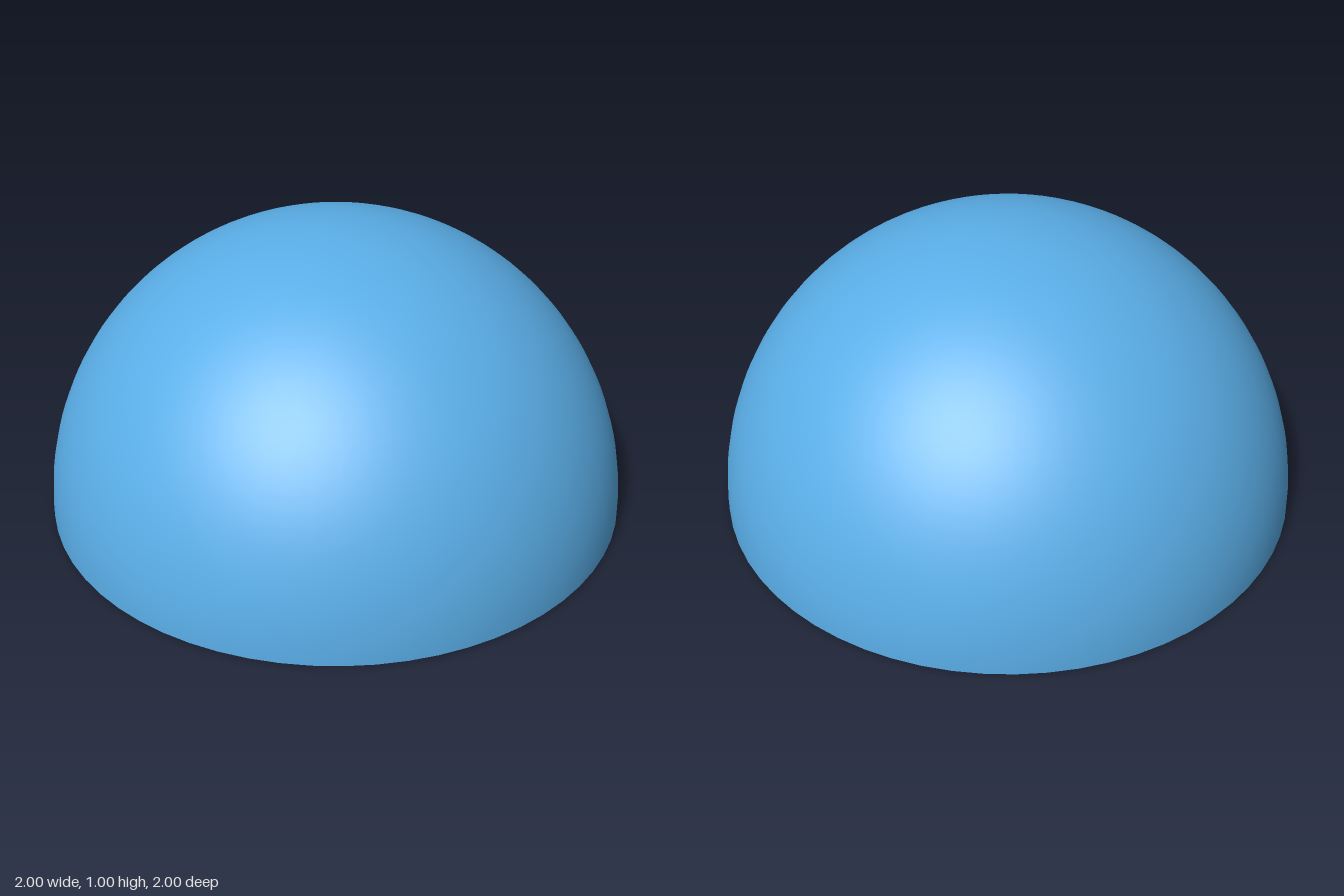
import * as THREE from 'three';

export function createModel() {
  const model = new THREE.Group();
  const sky = new THREE.MeshStandardMaterial({ color: 0x5aaee8, side: THREE.DoubleSide });
  const wood = new THREE.MeshStandardMaterial({ color: 0xc69a6b });
  const grey = new THREE.MeshStandardMaterial({ color: 0xcccccc });

  const add = (parent, name, geometry, material, x = 0, y = 0, z = 0) => {
    const mesh = new THREE.Mesh(geometry, material);
    mesh.name = name;
    mesh.position.set(x, y, z);
    parent.add(mesh);
    return mesh;
  };
  const ring = (radius, tube) =>
    new THREE.TorusGeometry(radius, tube, 10, 72).rotateX(Math.PI / 2);

  // Open half-sphere shell
  add(model, 'skyDome', new THREE.SphereGeometry(1, 64, 32, 0, Math.PI * 2, 0, Math.PI / 2), sky, 0, 0.004, 0);

  // Stepped seating rings widening upwards around an open centre
  const arena = new THREE.Group();
  arena.name = 'arena';
  model.add(arena);
  const tiers = 8;
  for (let i = 0; i < tiers; i++) {
    const t = i / (tiers - 1);
    add(arena, 'seatingTier', ring(0.268 + 0.227 * t, 0.019), wood, 0, 0.026 + 0.1 * t, 0);
  }
  add(arena, 'innerRail', ring(0.243, 0.006), wood, 0, 0.006, 0);

  // Outer railing on evenly spaced posts
  const railRadius = 0.545;
  add(arena, 'outerRail', ring(railRadius, 0.007), wood, 0, 0.15, 0);
  const postGeometry = new THREE.CylinderGeometry(0.007, 0.007, 0.075, 8);
  const posts = 24;
  for (let i = 0; i < posts; i++) {
    const a = (i / posts) * Math.PI * 2 + 0.096;
    add(arena, 'railPost', postGeometry, wood, railRadius * Math.cos(a), 0.125, railRadius * Math.sin(a));
  }

  // Flat cloud of overlapping puffs, long in z: [x, y, z, radius]
  const cloud = new THREE.Group();
  cloud.name = 'cloud';
  cloud.position.set(-0.2, 0.5, 0.2);
  model.add(cloud);
  const puffs = [
    [0, 0, 0, 0.085], [0.03, 0.005, -0.09, 0.065], [-0.03, 0, 0.085, 0.065],
    [0.02, -0.005, 0.14, 0.045], [-0.02, 0, -0.14, 0.045], [0.05, 0.005, 0.04, 0.055],
  ];
  for (const [x, y, z, r] of puffs) {
    add(cloud, 'cloudPuff', new THREE.SphereGeometry(r, 20, 14), grey, x, y, z).scale.y = 0.4;
  }

  return model;
}
